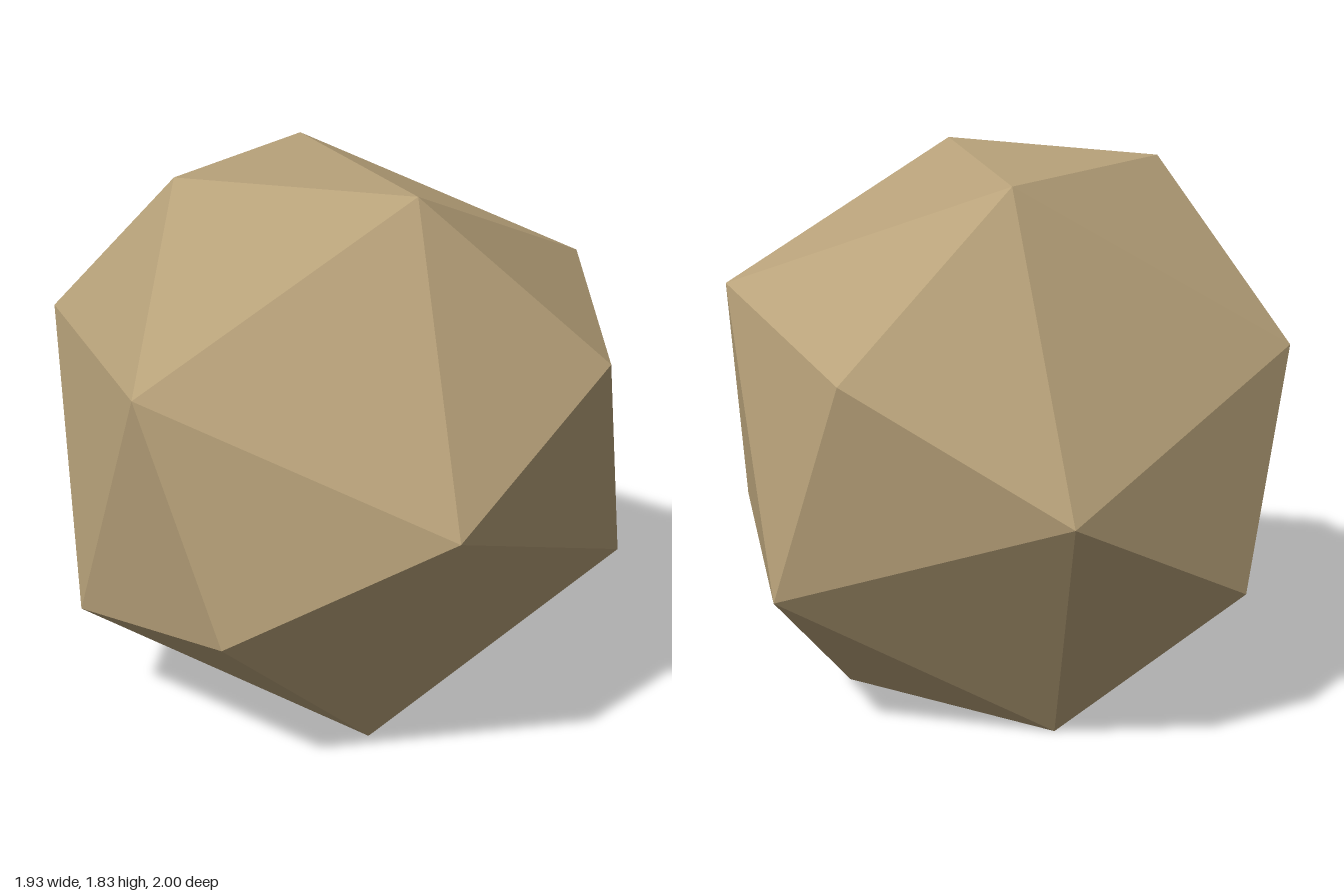
import * as THREE from 'three';

export function createModel() {
  const group = new THREE.Group();
  group.name = 'facetedStone';

  const sandstone = new THREE.MeshStandardMaterial({ color: 0xb8a27a, flatShading: true });
  sandstone.name = 'sandstone';

  // Once-subdivided octahedron: 18 corners, 32 flat facets
  const stone = new THREE.OctahedronGeometry(1.058, 1);

  // Tilt it so one corner facet lies flat on the ground
  const u = new THREE.Vector3(-0.51, 0.913, -0.18).normalize();
  const v = new THREE.Vector3(0.36, 0.378, 0.92);
  const w = new THREE.Vector3().crossVectors(u, v).normalize();
  v.crossVectors(w, u);
  stone.applyMatrix4(new THREE.Matrix4().makeBasis(u, v, w));

  // Stand on y = 0 with crisp facet normals
  stone.computeBoundingBox();
  stone.translate(0, -stone.boundingBox.min.y, 0);
  stone.computeVertexNormals();

  const mesh = new THREE.Mesh(stone, sandstone);
  mesh.name = 'stone';
  group.add(mesh);
  return group;
}
